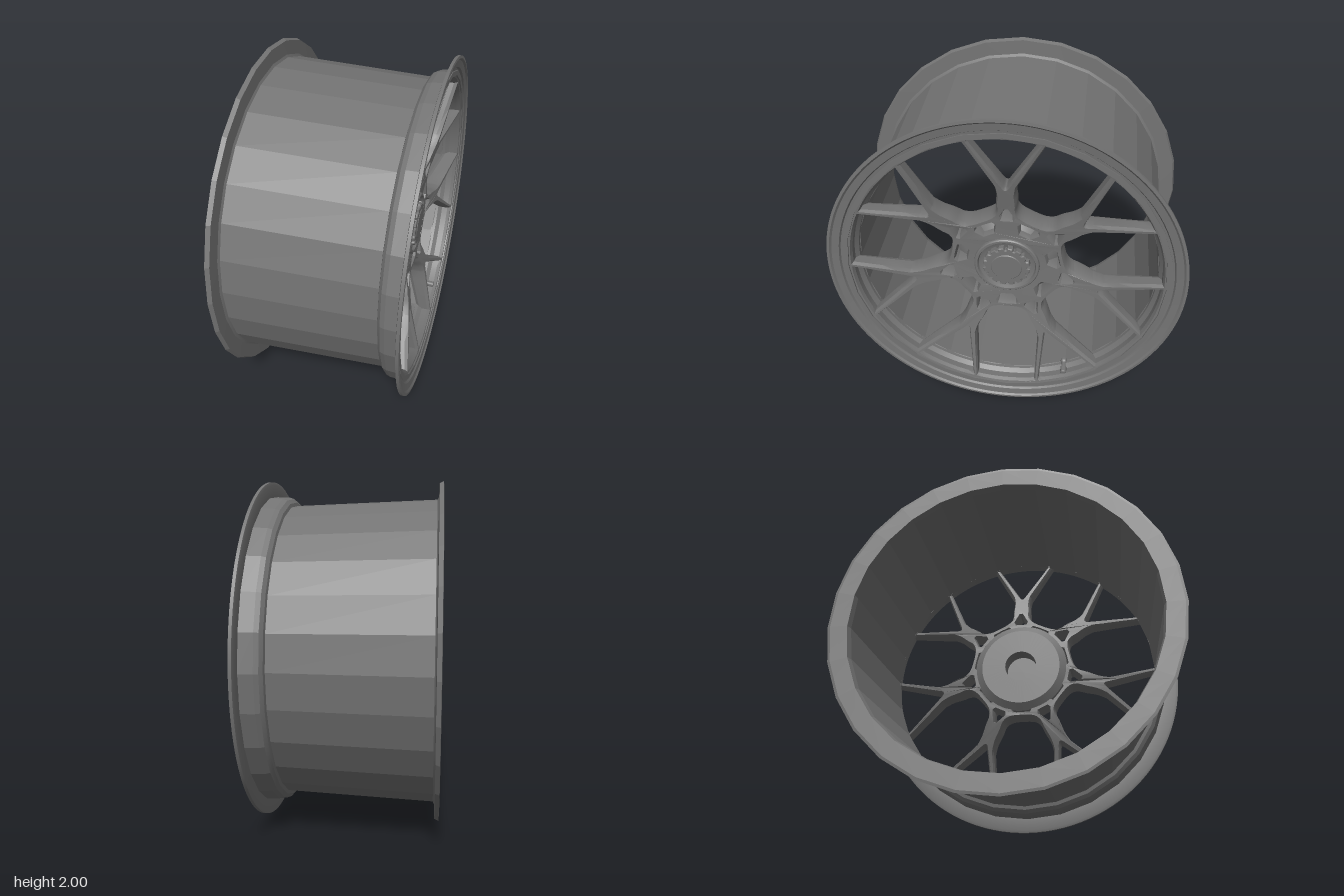
import * as THREE from 'three';
import { toCreasedNormals } from 'three/addons/utils/BufferGeometryUtils.js';

const STEP = (Math.PI * 2) / 7;
const V = (x, y) => new THREE.Vector2(x, y);
const polar = (r, a) => V(r * Math.cos(a), r * Math.sin(a));
const lerpTable = (table, r) => {
  for (let i = 1; i < table.length; i++) {
    const [r0, v0] = table[i - 1], [r1, v1] = table[i];
    if (r <= r1) return v0 + (v1 - v0) * Math.max(0, (r - r0) / (r1 - r0));
  }
  return table[table.length - 1][1];
};

// Solid of revolution about z; profile is [radius, z], outside rising, inside falling
function turned(profile, segments, crease = 0.5) {
  const g = new THREE.LatheGeometry(profile.map(([r, z]) => V(r, z)), segments);
  g.rotateX(Math.PI / 2);
  return toCreasedNormals(g, crease);
}

// Opening lying along +x: a curved base, straight sides and an arc at the rim
function opening(base) {
  const rimR = 0.868, rimA = 0.207;
  const mirrored = [...base.slice(1).reverse().map(([u, v]) => V(u, -v)), ...base.map(([u, v]) => V(u, v))];
  const pts = new THREE.SplineCurve(mirrored).getPoints(28);
  const last = pts[pts.length - 1], end = polar(rimR, rimA);
  const side = [0.25, 0.5, 0.75].map((t) => last.clone().lerp(end, t));
  const arc = [];
  for (let i = 0; i <= 10; i++) arc.push(polar(rimR, rimA - (2 * rimA * i) / 10));
  const back = side.slice().reverse().map((p) => V(p.x, -p.y));
  return [...pts, ...side, ...arc, ...back];
}

// Spoke star: a pierced disc, dished and thickened by radius
function spokeStar() {
  const shape = new THREE.Shape().absarc(0, 0, 0.905, 0, Math.PI * 2);
  const cut = (pts, angle) =>
    shape.holes.push(new THREE.Path(pts.map((p) => p.clone().rotateAround(V(0, 0), angle))));
  const window = opening([[0.33, 0], [0.335, 0.07], [0.36, 0.11], [0.41, 0.135], [0.472, 0.17], [0.53, 0.188]]);
  const fork = opening([[0.545, 0], [0.553, 0.009], [0.58, 0.024]]);
  const triangle = [V(0.39, 0.005), V(0.33, 0.036), V(0.318, 0.03), V(0.318, -0.03), V(0.33, -0.036), V(0.39, -0.005)];
  const pocket = [V(0.235, 0.03), V(0.278, 0.058), V(0.293, 0.05), V(0.295, 0), V(0.293, -0.05), V(0.278, -0.058), V(0.235, -0.03)];
  for (let i = 0; i < 7; i++) {
    const y = Math.PI / 2 + i * STEP;
    cut(fork, y);
    cut(triangle, y);
    cut(window, y + STEP / 2);
    cut(pocket, y + STEP / 2);
  }
  shape.holes.push(new THREE.Path().absarc(0, 0, 0.15, 0, Math.PI * 2));
  const g = new THREE.ExtrudeGeometry(shape, {
    depth: 0.6, bevelThickness: 0.2, bevelSize: 0.009, bevelOffset: -0.009, bevelSegments: 1, curveSegments: 48,
  });
  const front = [[0.15, 0.36], [0.35, 0.37], [0.55, 0.41], [0.9, 0.478]];
  const depth = [[0.15, 0.14], [0.4, 0.14], [0.6, 0.11], [0.9, 0.09]];
  const p = g.attributes.position;
  for (let i = 0; i < p.count; i++) {
    const r = Math.hypot(p.getX(i), p.getY(i));
    p.setZ(i, lerpTable(front, r) - (0.8 - p.getZ(i)) * lerpTable(depth, r));
  }
  return toCreasedNormals(g, 0.4);
}

// Scalloped ring of the centre lock
function lockRing() {
  const n = 16, pts = [];
  for (let i = 0; i < n; i++)
    [[0, 0.12], [0.18, 0.12], [0.32, 0.135], [0.86, 0.135]].forEach(([f, r]) => pts.push(polar(r, ((i + f) * Math.PI * 2) / n)));
  const shape = new THREE.Shape(pts);
  shape.holes.push(new THREE.Path().absarc(0, 0, 0.085, 0, Math.PI * 2));
  const g = new THREE.ExtrudeGeometry(shape, {
    depth: 0.05, bevelThickness: 0.006, bevelSize: 0.004, bevelOffset: -0.004, bevelSegments: 1, curveSegments: 24,
  });
  g.translate(0, 0, 0.335);
  return toCreasedNormals(g, 0.4);
}

export function createModel() {
  const material = new THREE.MeshStandardMaterial({ color: 0x737373 });
  const wheel = new THREE.Group();
  wheel.name = 'wheel';
  const add = (name, geometry, parent = wheel) => {
    const mesh = new THREE.Mesh(geometry, material);
    mesh.name = name;
    parent.add(mesh);
  };

  // Faceted barrel with the rear flange and the front step
  add('barrel', turned([
    [0.885, -0.505], [0.985, -0.51], [1, -0.508], [0.99, -0.485], [0.91, -0.482], [0.895, -0.475],
    [0.865, 0.358], [0.885, 0.363], [0.905, 0.38], [0.914, 0.405], [0.918, 0.485],
    [0.89, 0.485], [0.89, 0.4], [0.85, 0.37], [0.875, -0.47], [0.885, -0.505],
  ], 28, 0.15));

  // Finely rounded front lip with its stepped seat
  add('frontLip', turned([
    [0.848, 0.362], [0.895, 0.39], [0.905, 0.482], [0.985, 0.482], [1, 0.486], [1, 0.503], [0.985, 0.505],
    [0.975, 0.495], [0.935, 0.49], [0.928, 0.478], [0.908, 0.476], [0.9, 0.46], [0.885, 0.44],
    [0.85, 0.39], [0.848, 0.362],
  ], 112));

  add('spokes', spokeStar());

  // Conical hub with a rear bore
  add('hub', turned([
    [0, 0.3], [0.1, 0.3], [0.1, 0.2], [0.25, 0.2], [0.295, 0.23], [0.295, 0.26], [0.24, 0.325], [0.19, 0.35],
    [0.186, 0.375], [0.18, 0.381], [0.168, 0.381], [0.162, 0.365], [0.14, 0.355], [0, 0.355],
  ], 56));

  // Centre lock
  add('lockRing', lockRing());
  add('centreCap', turned([[0.092, 0.34], [0.092, 0.388], [0.085, 0.395], [0, 0.395]], 48));

  // Tyre valve near the bottom of the rim
  const valve = new THREE.Group();
  valve.name = 'valve';
  valve.position.set(0.36, -0.765, 0.37);
  valve.rotation.x = 0.1;
  wheel.add(valve);
  add('valveBase', turned([[0, -0.01], [0.02, -0.01], [0.02, 0.005], [0.014, 0.015], [0, 0.015]], 16), valve);
  add('valveStem', turned([[0.013, 0], [0.013, 0.05], [0.019, 0.05], [0.019, 0.085], [0.013, 0.09], [0, 0.09]], 16), valve);

  // Turn the wheel axis onto x and stand it on the floor
  wheel.rotation.y = Math.PI / 2;
  wheel.position.y = 1;
  const model = new THREE.Group();
  model.name = 'wheelRim';
  model.add(wheel);
  return model;
}
